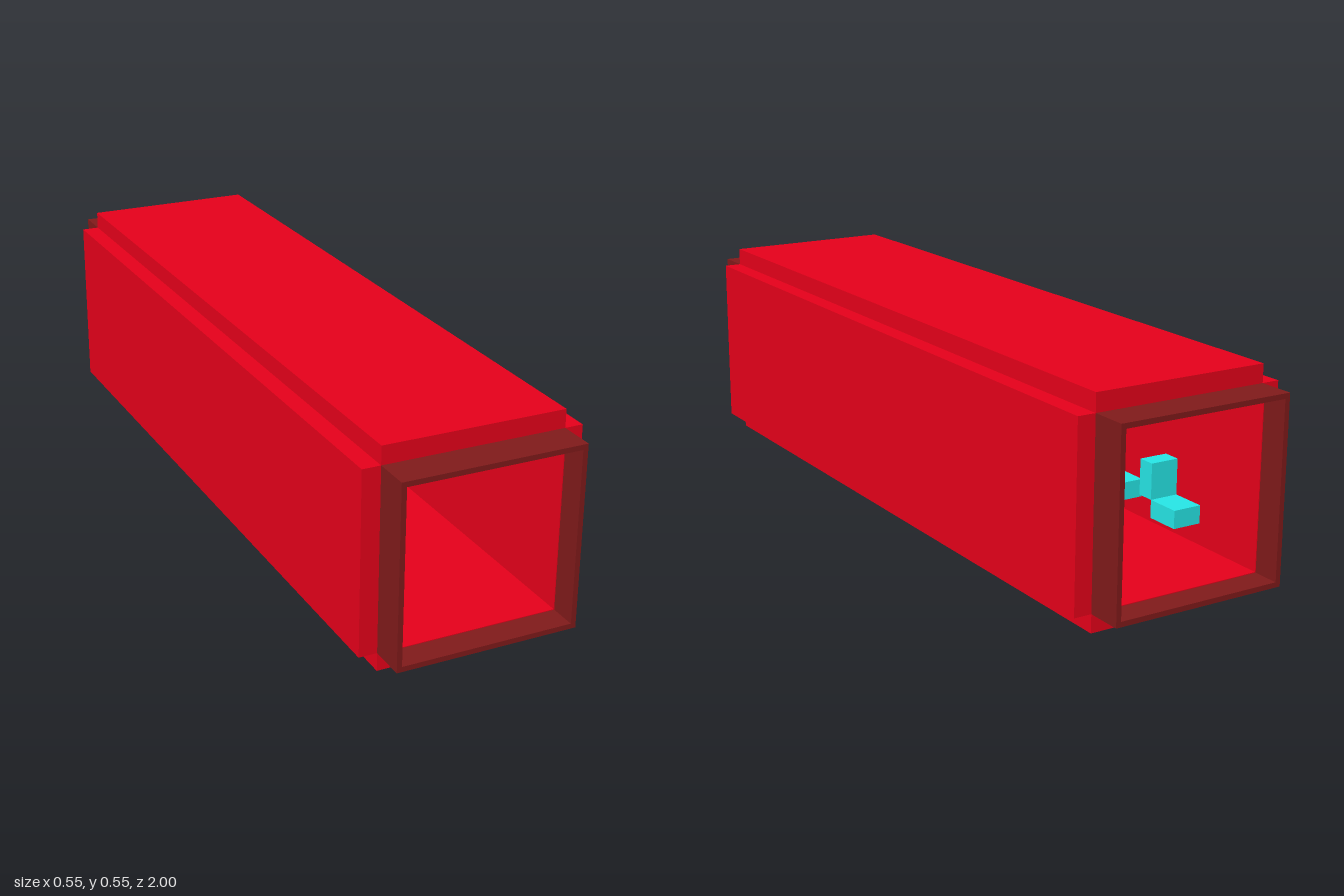
import * as THREE from 'three';

const U = 1 / 11; // modelling unit: the tube is 22 units long

export function createModel() {
  const red = new THREE.MeshStandardMaterial({ color: 0xe6001a });
  red.name = 'red';
  const brown = new THREE.MeshStandardMaterial({ color: 0x801a1a });
  brown.name = 'dark brown';
  const teal = new THREE.MeshStandardMaterial({ color: 0x26e6e6 });
  teal.name = 'teal';

  const model = new THREE.Group();
  model.name = 'cabin';

  // Box given by its minimum and maximum corners, in units
  function box(name, material, min, max, parent = model) {
    const size = max.map((v, i) => (v - min[i]) * U);
    const mesh = new THREE.Mesh(new THREE.BoxGeometry(...size), material);
    mesh.position.set(...max.map((v, i) => ((v + min[i]) / 2) * U));
    mesh.name = name;
    parent.add(mesh);
  }

  // Hollow square tube along z, given by its outer and inner half widths
  function squareTube(name, material, outer, inner, z0, z1) {
    const square = (path, h) => path
      .moveTo(-h * U, -h * U).lineTo(h * U, -h * U)
      .lineTo(h * U, h * U).lineTo(-h * U, h * U).closePath();
    const outline = square(new THREE.Shape(), outer);
    outline.holes.push(square(new THREE.Path(), inner));
    const mesh = new THREE.Mesh(
      new THREE.ExtrudeGeometry(outline, { depth: (z1 - z0) * U, bevelEnabled: false }), material);
    mesh.position.set(0, 3 * U, z0 * U);
    mesh.name = name;
    model.add(mesh);
  }

  // Four outer panels, leaving the corners notched
  box('floor', red, [-2.5, 0, -10], [2.5, 0.5, 10]);
  box('roof', red, [-2.5, 5.5, -10], [2.5, 6, 10]);
  box('leftWall', red, [2.5, 0.5, -10], [3, 5.5, 10]);
  box('rightWall', red, [-3, 0.5, -10], [-2.5, 5.5, 10]);

  // Inner lining, reaching a little way into the thin collars at the open ends
  squareTube('lining', red, 2.42, 2.34, -10.25, 10.25);
  squareTube('frontCollar', brown, 2.5, 2.36, 10, 11);
  squareTube('backCollar', brown, 2.5, 2.36, -11, -10);

  // Rows of seats along both walls, facing the back
  for (let row = 0; row < 5; row++) {
    const z = -8 + row * 2.5;
    for (const [side, x] of [['left', 1.5], ['right', -2.5]]) {
      const seat = new THREE.Group();
      seat.name = `${side}Seat${row + 1}`;
      box('cushion', teal, [x, 1.25, z], [x + 1, 1.75, z + 1], seat);
      box('backrest', teal, [x, 1.75, z + 1], [x + 1, 2.75, z + 1.5], seat);
      model.add(seat);
    }
  }

  return model;
}
